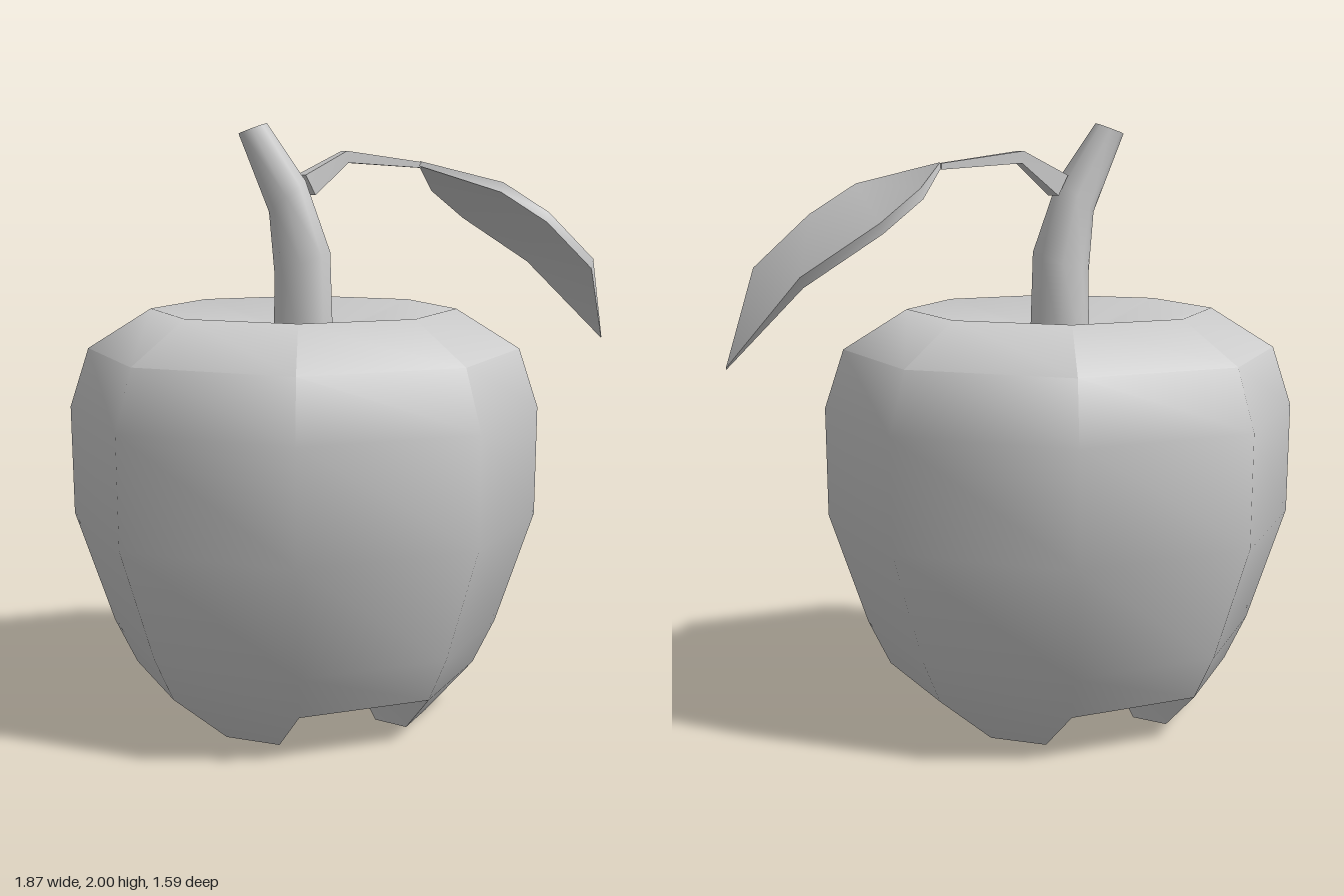
import * as THREE from 'three';
import { toCreasedNormals } from 'three/addons/utils/BufferGeometryUtils.js';

const V = (x, y, z) => new THREE.Vector3(x, y, z);
const AXIS_X = -0.14; // the fruit sits off-centre, the leaf balances it
const SIDES = 8;

// Collects quads, dropping collapsed triangles
function quad(out, a, b, c, d) {
  for (const [p, q, r] of [[a, b, c], [a, c, d]]) {
    const area = q.clone().sub(p).cross(r.clone().sub(p)).length();
    if (area > 1e-7) for (const v of [p, q, r]) out.push(v);
  }
}

// Joins successive rings of points; skip(i, j) leaves a quad out
function loft(rings, skip = () => false, out = []) {
  for (let i = 0; i < rings.length - 1; i++) {
    const p = rings[i], q = rings[i + 1], n = p.length;
    for (let j = 0; j < n; j++) {
      const k = (j + 1) % n;
      if (!skip(i, j)) quad(out, p[j], q[j], q[k], p[k]);
    }
  }
  return out;
}

function makeMesh(name, points, creaseDegrees, material) {
  const geometry = new THREE.BufferGeometry().setFromPoints(points);
  const mesh = new THREE.Mesh(
    toCreasedNormals(geometry, THREE.MathUtils.degToRad(creaseDegrees)), material);
  mesh.name = name;
  return mesh;
}

const collapse = (ring) => {
  const c = ring.reduce((s, p) => s.add(p), V(0, 0, 0)).divideScalar(ring.length);
  return ring.map(() => c.clone());
};

// Fruit: octagonal turned body with four feet on alternate sides
function fruitPoints() {
  const at = (deg, r, y) => {
    const a = THREE.MathUtils.degToRad(deg);
    return V(AXIS_X + r * Math.cos(a), y, r * Math.sin(a));
  };
  const profile = [
    [0, 0.36], [0.13, 0.3], [0.24, 0.15], // hollow underneath
    [0.585, 0.15], [0.66, 0.3], [0.79, 0.68], [0.795, 1.05],
    [0.73, 1.25], [0.515, 1.385], [0.1, 1.29], [0, 1.28],
  ];
  const rings = profile.map(([r, y]) =>
    Array.from({ length: SIDES }, (_, j) => at(j * 45, r, y)));
  const out = loft(rings, (i, j) => i === 2 && j % 2 === 0);

  // feet taper from the underside to the ground
  for (let j = 0; j < SIDES; j += 2) {
    const edge = (deg, inset) => [at(deg, 0.24, 0.15), at(deg + inset, 0.3, 0),
      at(deg + inset, 0.426, 0), at(deg, 0.585, 0.15)];
    const s = edge(j * 45, 9.5), e = edge(j * 45 + 45, -9.5);
    for (let i = 0; i < 3; i++) quad(out, s[i], s[i + 1], e[i + 1], e[i]);
    quad(out, s[3], s[2], s[1], s[0]);
    quad(out, e[0], e[1], e[2], e[3]);
  }
  return out;
}

// Stem: tapering tilted rings
function stemPoints() {
  const rings = [ // x, y, z, radius, tilt
    [-0.14, 1.26, 0, 0.1, 0],
    [-0.143, 1.54, 0, 0.1, 0.35],
    [-0.192, 1.76, 0.01, 0.08, 0.7],
    [-0.305, 1.983, 0.015, 0.05, 0.35],
  ].map(([x, y, z, r, t]) => Array.from({ length: SIDES }, (_, j) => {
    const a = (j / SIDES) * Math.PI * 2, u = r * Math.cos(a);
    return V(x + u * Math.cos(t), y + u * Math.sin(t), z + r * Math.sin(a));
  }));
  rings.push(collapse(rings[rings.length - 1]));
  return loft(rings);
}

// Leaf stalk: bent square bar
function stalkPoints() {
  const along = V(0.88, 0, -0.48), side = V(0.48, 0, 0.88);
  const rings = [ // centre, half width, half height, backward lean
    [V(-0.13, 1.797, -0.03), 0.033, 0.038, 0.55],
    [V(0, 1.89, -0.105), 0.02, 0.02, 0.15],
    [V(0.26, 1.862, -0.25), 0.01, 0.01, 0],
  ].map(([c, w, h, lean]) => {
    const up = V(0, 1, 0).addScaledVector(along, -lean).normalize();
    return [[1, -1], [1, 1], [-1, 1], [-1, -1]].map(([s, t]) =>
      c.clone().addScaledVector(side, s * w).addScaledVector(up, t * h));
  });
  return loft([collapse(rings[0]), ...rings, collapse(rings[2])]);
}

// Leaf: cross-sections from stalk to tip, each a back and a front edge
function leafPoints() {
  const drop = V(-0.008, -0.033, 0.018);
  const rings = [
    [V(0.26, 1.875, -0.255), V(0.26, 1.875, -0.245), 0.5],
    [V(0.32, 1.8, -0.51), V(0.535, 1.805, -0.08), 1],
    [V(0.44, 1.7, -0.6), V(0.69, 1.705, -0.07), 1],
    [V(0.68, 1.54, -0.6), V(0.862, 1.54, -0.2), 1],
    [V(0.93, 1.245, -0.42), V(0.93, 1.245, -0.42), 0.15],
  ].map(([back, front, t]) => [front.clone().addScaledVector(drop, t), front, back,
    back.clone().addScaledVector(drop, t)]);
  return loft([collapse(rings[0]), ...rings]);
}

export function createModel() {
  const grey = new THREE.MeshStandardMaterial({ color: 0xcccccc });
  const thin = new THREE.MeshStandardMaterial({ color: 0xcccccc, side: THREE.DoubleSide });
  const model = new THREE.Group();
  model.name = 'apple';
  model.add(
    makeMesh('fruit', fruitPoints(), 50, grey),
    makeMesh('stem', stemPoints(), 55, grey),
    makeMesh('leafStalk', stalkPoints(), 30, grey),
    makeMesh('leaf', leafPoints(), 35, thin),
  );
  return model;
}
